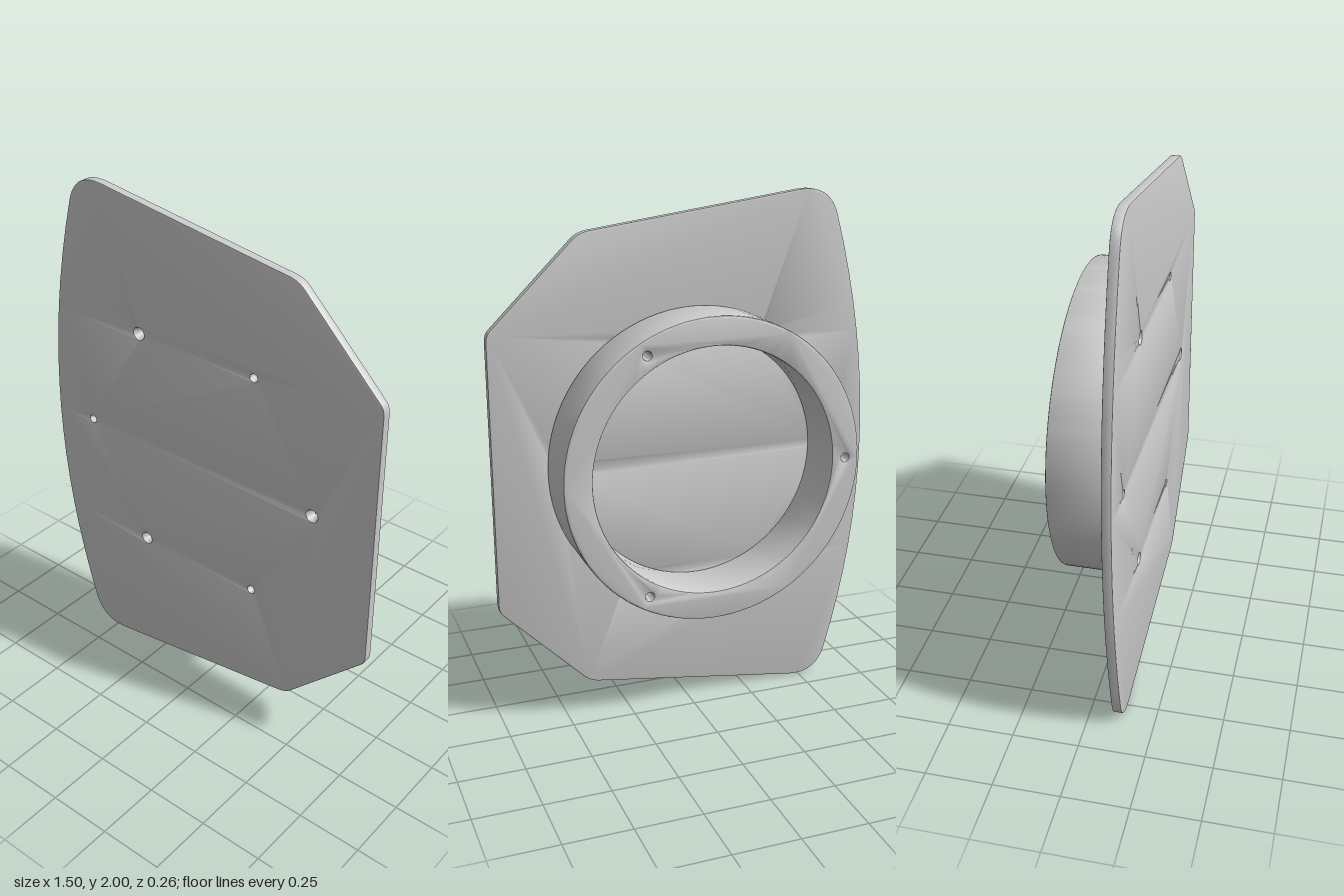
import * as THREE from 'three';
import { toCreasedNormals } from 'three/addons/utils/BufferGeometryUtils.js';

const CX = -0.04, CY = 1.005, BOLT_R = 0.53;
const material = new THREE.MeshStandardMaterial({ color: 0xcccccc, side: THREE.DoubleSide });

function circle(path, x, y, r) {
  path.absarc(x, y, r, 0, Math.PI * 2, false);
  return path;
}

// Position on the bolt circle, angle in degrees
function boltPoint(deg) {
  const a = THREE.MathUtils.degToRad(deg);
  return [CX + BOLT_R * Math.cos(a), CY + BOLT_R * Math.sin(a)];
}

// Extrude from z0 to z1 with a small edge rounding kept inside the outline
function slab(name, shape, z0, z1, bevel, segments) {
  const geo = new THREE.ExtrudeGeometry(shape, {
    depth: z1 - z0 - 2 * bevel, curveSegments: segments,
    bevelSize: bevel, bevelThickness: bevel, bevelOffset: -bevel, bevelSegments: 2,
  });
  geo.translate(0, 0, z0 + bevel);
  const mesh = new THREE.Mesh(toCreasedNormals(geo, 0.6), material);
  mesh.name = name;
  return mesh;
}

export function createModel() {
  const group = new THREE.Group();
  group.name = 'mountingPlateWithRing';
  const throughHoles = [60, 180, 300];
  const sunkHoles = [0, 120, 240];

  // Plate outline: bowed left edge, rounded left corners, clipped right corners
  const plate = new THREE.Shape();
  plate.moveTo(-0.62, 0.1);
  plate.quadraticCurveTo(-0.585, -0.02, -0.45, 0.002);
  plate.lineTo(0.36, 0.118);
  plate.quadraticCurveTo(0.4, 0.123, 0.425, 0.147);
  plate.lineTo(0.735, 0.455);
  plate.quadraticCurveTo(0.75, 0.47, 0.75, 0.5);
  plate.lineTo(0.75, 1.5);
  plate.quadraticCurveTo(0.75, 1.53, 0.735, 1.545);
  plate.lineTo(0.425, 1.853);
  plate.quadraticCurveTo(0.4, 1.877, 0.36, 1.882);
  plate.lineTo(-0.45, 1.998);
  plate.quadraticCurveTo(-0.585, 2.02, -0.62, 1.9);
  plate.quadraticCurveTo(-0.885, 1, -0.62, 0.1);
  for (const a of throughHoles) plate.holes.push(circle(new THREE.Path(), ...boltPoint(a), 0.016));
  for (const a of sunkHoles) plate.holes.push(circle(new THREE.Path(), ...boltPoint(a), 0.025));
  group.add(slab('plate', plate, 0.095, 0.13, 0.003, 16));

  // Ring behind the plate, drilled in line with the through holes
  const ring = circle(new THREE.Shape(), CX, CY, 0.585);
  ring.holes.push(circle(new THREE.Path(), CX, CY, 0.475));
  for (const a of throughHoles) ring.holes.push(circle(new THREE.Path(), ...boltPoint(a), 0.016));
  group.add(slab('ring', ring, -0.13, 0.095, 0.008, 48));

  // Conical seats in the countersunk screw holes
  const seatGeo = new THREE.CylinderGeometry(0.026, 0.012, 0.032, 24, 1, true);
  seatGeo.rotateX(Math.PI / 2);
  for (const a of sunkHoles) {
    const seat = new THREE.Mesh(seatGeo, material);
    seat.name = 'countersink';
    seat.position.set(...boltPoint(a), 0.112);
    group.add(seat);
  }
  return group;
}
